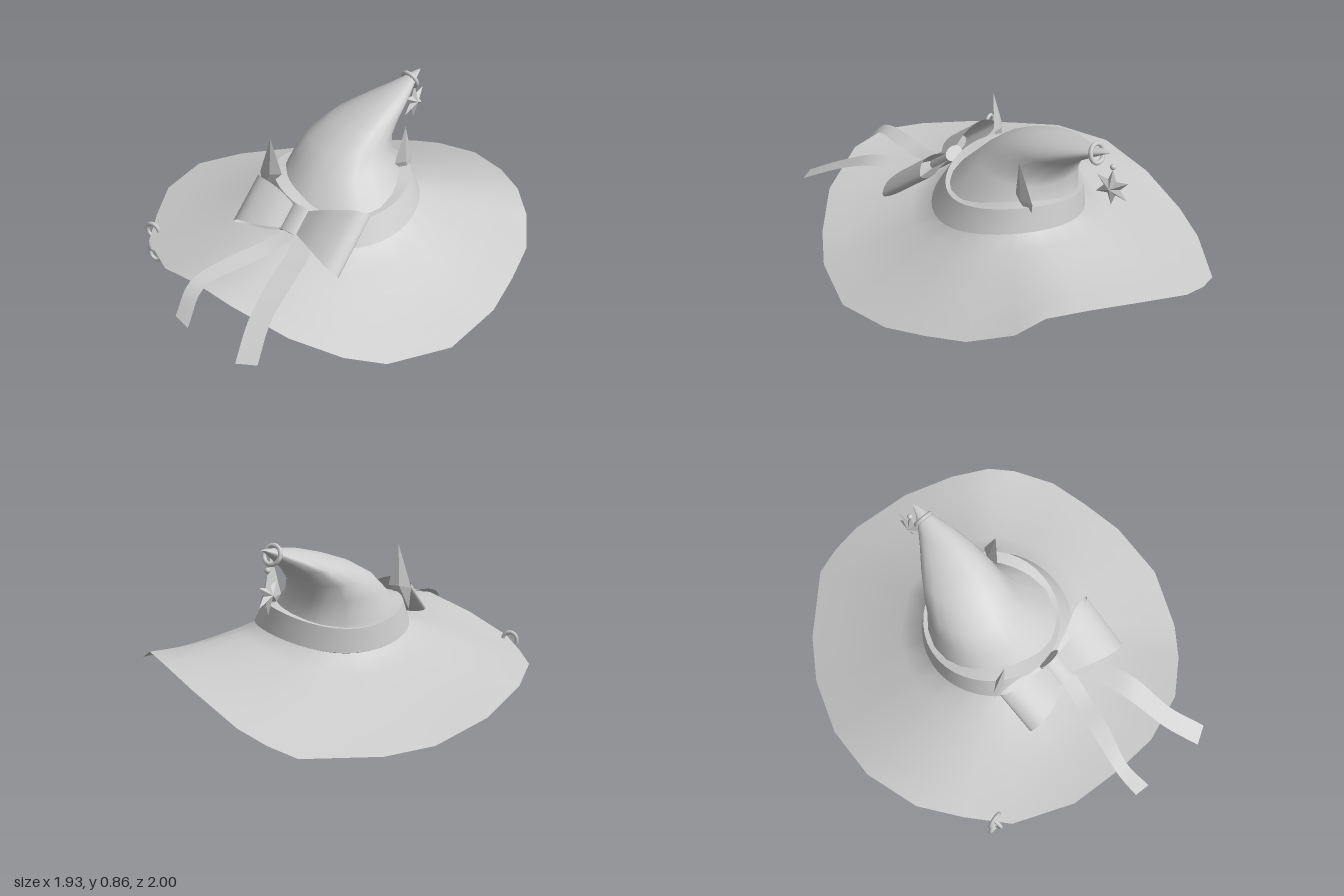
import * as THREE from 'three';
import { toCreasedNormals } from 'three/addons/utils/BufferGeometryUtils.js';
import { ConvexGeometry } from 'three/addons/geometries/ConvexGeometry.js';

const V = (x, y, z) => new THREE.Vector3(x, y, z);
const solid = new THREE.MeshStandardMaterial({ color: 0xcccccc });
const faceted = new THREE.MeshStandardMaterial({ color: 0xcccccc, flatShading: true });
const sheet = new THREE.MeshStandardMaterial({ color: 0xcccccc, side: THREE.DoubleSide });

function add(parent, name, geometry, material = solid) {
  const mesh = new THREE.Mesh(geometry, material);
  mesh.name = name;
  parent.add(mesh);
  return mesh;
}

// Skin a list of equally long point rows; closed rows wrap around
function loft(rows, closed) {
  const n = rows[0].length, index = [];
  const pos = rows.flat().flatMap(p => [p.x, p.y, p.z]);
  for (let i = 0; i < rows.length - 1; i++) {
    for (let j = 0; j < (closed ? n : n - 1); j++) {
      const k = (j + 1) % n, a = i * n + j, b = i * n + k;
      index.push(a, a + n, b, b, a + n, b + n);
    }
  }
  const g = new THREE.BufferGeometry();
  g.setAttribute('position', new THREE.Float32BufferAttribute(pos, 3));
  g.setIndex(index);
  g.computeVertexNormals();
  return g;
}

// Ribbon spanning two edge curves
function ribbon(edgeA, edgeB, steps = 20) {
  const a = new THREE.CatmullRomCurve3(edgeA).getPoints(steps);
  const b = new THREE.CatmullRomCurve3(edgeB).getPoints(steps);
  return loft(a.map((p, i) => [p, p.clone().lerp(b[i], 0.5), b[i]]), false);
}

// Wavy rim of the brim: x, z, height
const RIM = [
  [0.96, 0, 0.30], [0.97, 0.14, 0.235], [0.91, 0.35, 0.18], [0.79, 0.52, 0.14],
  [0.65, 0.69, 0.10], [0.40, 0.87, 0.06], [0.08, 0.94, 0.07], [-0.12, 0.93, 0.13],
  [-0.36, 0.87, 0.23], [-0.60, 0.71, 0.32], [-0.74, 0.54, 0.33], [-0.88, 0.31, 0.26],
  [-0.95, 0, 0.20], [-0.90, -0.24, 0.19], [-0.83, -0.47, 0.19], [-0.65, -0.71, 0.17],
  [-0.40, -0.88, 0.10], [-0.10, -0.98, 0.04], [0.15, -1.0, 0.03], [0.52, -0.95, 0.05],
  [0.63, -0.86, 0.09], [0.73, -0.74, 0.14], [0.86, -0.46, 0.24], [0.93, -0.20, 0.29],
];

// Crown slices: height, centre x, centre z, radius along the lean, radius across
const CROWN = [
  [0.45, 0.045, -0.045, 0.315, 0.315], [0.56, 0.055, -0.105, 0.255, 0.245],
  [0.64, 0.10, -0.15, 0.225, 0.205], [0.71, 0.185, -0.19, 0.195, 0.165],
  [0.76, 0.28, -0.23, 0.16, 0.115], [0.80, 0.37, -0.28, 0.115, 0.065],
  [0.82, 0.43, -0.325, 0.07, 0.035], [0.835, 0.48, -0.365, 0.03, 0.015], [0.838, 0.51, -0.39, 0.001, 0.001],
];

const baseY = t => 0.31 + 0.07 * Math.cos(t) ** 2;
const baseRing = (angles, cx, cz, r, lift) =>
  angles.map(t => V(cx + r * Math.cos(t), baseY(t) + lift, cz + r * Math.sin(t)));

function hatShell() {
  const angles = RIM.map(([x, z]) => Math.atan2(z, x));
  const inner = baseRing(angles, 0.04, -0.01, 0.38, 0);
  const rows = [0, 0.2, 0.4, 0.6, 0.8, 1].map(s => RIM.map(([x, z, y], j) => {
    const p = V(x, y, z).lerp(inner[j], s);
    p.y -= 0.015 * Math.sin(Math.PI * s);
    return p;
  }));
  const h = Math.SQRT1_2;
  for (const [y, cx, cz, a, b] of CROWN) {
    rows.push(angles.map(t => {
      const c = a * Math.cos(t + Math.PI / 4), s = b * Math.sin(t + Math.PI / 4);
      return V(cx + h * (c + s), y, cz + h * (s - c));
    }));
  }
  return loft(rows, true);
}

function hatBand() {
  const angles = Array.from({ length: 40 }, (_, i) => i / 40 * Math.PI * 2);
  const rings = [[0.04, -0.01, 0.375, 0], [0.04, -0.01, 0.388, 0.005],
    [0.042, -0.04, 0.345, 0.12], [0.042, -0.04, 0.28, 0.12]];
  return toCreasedNormals(loft(rings.map(r => baseRing(angles, ...r)), true), 0.7);
}

// Six-pointed star with raised centres
function starGeometry(R, r, d) {
  const p = i => {
    const t = i * Math.PI / 6 + Math.PI / 2, q = i % 2 ? r : R;
    return [q * Math.cos(t), q * Math.sin(t), 0];
  };
  const pos = [];
  for (let i = 0; i < 12; i++) {
    pos.push(0, 0, d, ...p(i), ...p(i + 1), 0, 0, -d, ...p(i + 1), ...p(i));
  }
  const g = new THREE.BufferGeometry();
  g.setAttribute('position', new THREE.Float32BufferAttribute(pos, 3));
  g.computeVertexNormals();
  return g;
}

function createBow() {
  const bow = new THREE.Group();
  bow.name = 'bow';
  // Local frame: x along the bow, y across it, z outwards
  const u = V(0.69, 0, 0.72).normalize();
  const n = u.clone().cross(V(0.48, 0.63, -0.6)).normalize();
  const v = n.clone().cross(u);
  const body = new THREE.Group();
  body.name = 'bowBody';
  body.applyMatrix4(new THREE.Matrix4().makeBasis(u, v, n).setPosition(-0.235, 0.43, 0.265));
  bow.add(body);
  for (const [side, len, w, name] of [[1, 0.35, 0.165, 'leftLoop'], [-1, 0.31, 0.13, 'rightLoop']]) {
    // Out along the top sheet, around the end and back below
    const edge = e => [[0.03, 0.05, 0.01], [0.45, 0.1, 0.06], [0.85, w * 0.92, 0.055],
      [1, w, 0.01], [0.8, w * 0.88, -0.02], [0.4, 0.09, -0.015], [0.03, 0.05, -0.01]]
      .map(([x, y, z]) => V(side * x * len, e * y, z));
    add(body, name, ribbon(edge(1), edge(-1), 28), sheet);
  }
  const knot = add(body, 'bowKnot', new THREE.CylinderGeometry(0.062, 0.062, 0.14, 16));
  knot.scale.z = 0.6;

  add(bow, 'rightTail', ribbon(
    [V(-0.27, 0.41, 0.27), V(-0.42, 0.385, 0.35), V(-0.57, 0.38, 0.42), V(-0.77, 0.34, 0.53), V(-0.85, 0.22, 0.62)],
    [V(-0.26, 0.40, 0.36), V(-0.39, 0.37, 0.43), V(-0.53, 0.365, 0.50), V(-0.71, 0.33, 0.575), V(-0.80, 0.20, 0.69)]), sheet);
  add(bow, 'leftTail', ribbon(
    [V(-0.26, 0.41, 0.34), V(-0.31, 0.40, 0.47), V(-0.41, 0.38, 0.62), V(-0.53, 0.29, 0.79), V(-0.61, 0.20, 0.96)],
    [V(-0.18, 0.41, 0.36), V(-0.21, 0.40, 0.51), V(-0.30, 0.385, 0.66), V(-0.43, 0.30, 0.82), V(-0.515, 0.21, 1.0)]), sheet);
  return bow;
}

export function createModel() {
  const hat = new THREE.Group();
  hat.name = 'pointedHat';
  add(hat, 'brimAndCrown', hatShell(), sheet);
  add(hat, 'hatBand', hatBand(), sheet);
  hat.add(createBow());

  // Pair of thin leaf-shaped ears on the band
  for (const side of [1, -1]) {
    const pts = [[0.335, 0.74, 0], [0.285, 0.53, 0.005], [0.385, 0.52, -0.055], [0.375, 0.41, -0.05],
      [0.345, 0.53, -0.005], [0.325, 0.53, -0.04]].map(([x, y, z]) => V(0.015 + side * x, y, z));
    add(hat, side > 0 ? 'leftEar' : 'rightEar', new ConvexGeometry(pts), faceted);
  }

  // Ring round the tip with a hanging star
  const ring = add(hat, 'tipRing', new THREE.TorusGeometry(0.045, 0.011, 8, 24));
  ring.position.set(0.445, 0.805, -0.345);
  ring.quaternion.setFromUnitVectors(V(0, 0, 1), V(0.78, 0.35, -0.6).normalize());
  const charm = new THREE.Group();
  charm.name = 'starCharm';
  charm.position.set(0.488, 0.637, -0.412);
  charm.rotation.y = Math.PI / 4;
  add(charm, 'star', starGeometry(0.097, 0.043, 0.028), faceted);
  add(charm, 'bead', new THREE.SphereGeometry(0.014, 12, 8)).position.y = 0.112;
  hat.add(charm);

  // Chain hanging from the side of the brim
  [[0.2, -0.7], [0.127, 0.87], [0.055, -0.7]].forEach(([y, turn], i) => {
    const link = add(hat, 'chainLink' + (i + 1), new THREE.TorusGeometry(0.037, 0.01, 8, 20));
    link.position.set(-0.925, y, -0.085);
    link.rotation.y = turn;
    link.scale.y = 1.12;
  });
  return hat;
}
